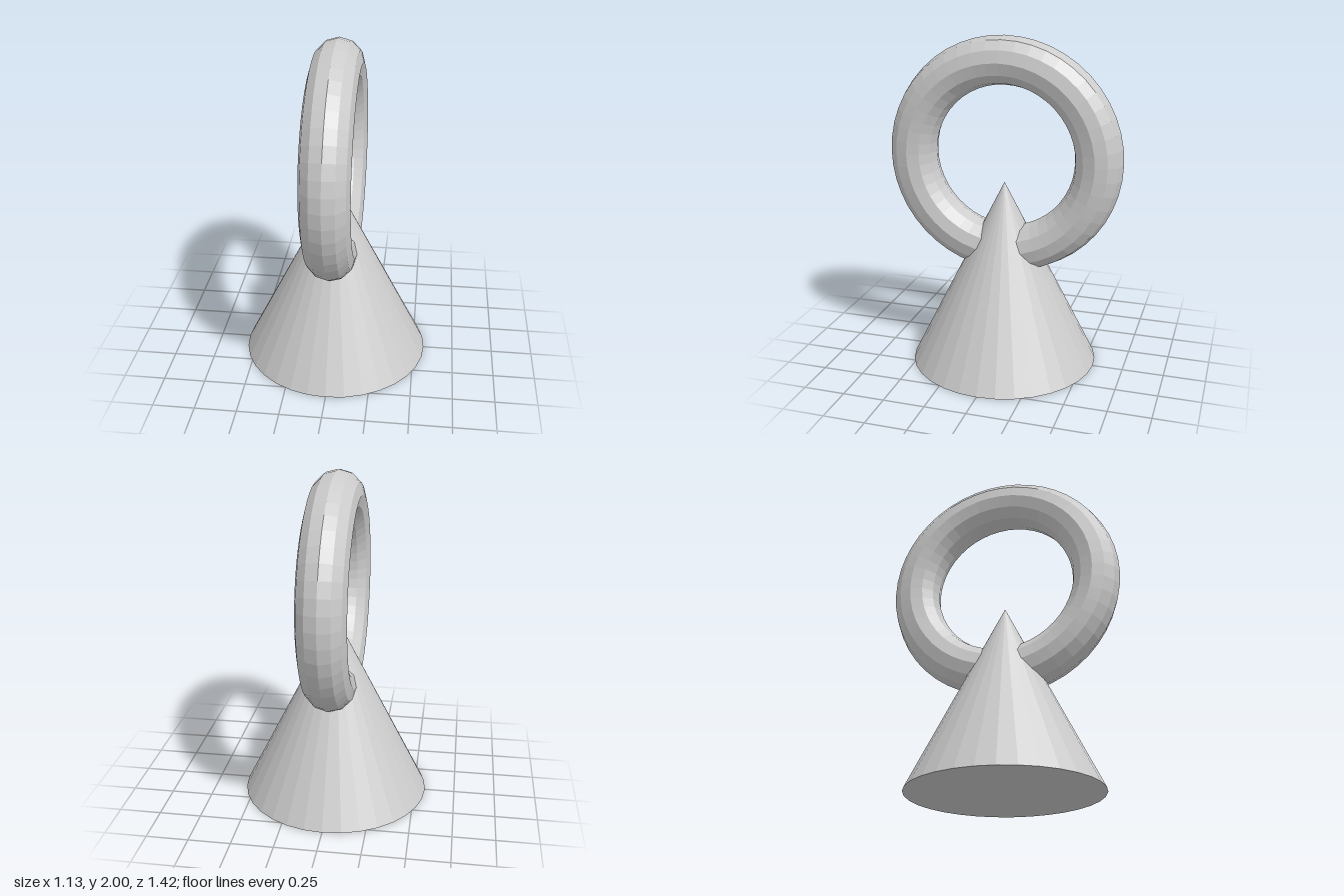
import * as THREE from 'three';

export function createModel() {
  const group = new THREE.Group();
  const material = new THREE.MeshStandardMaterial({ color: 0xcccccc, flatShading: true });
  const radius = 0.567; // shared by the cone base and the ring's centre line
  const tube = radius / 4;

  // cone standing on the ground
  const cone = new THREE.Mesh(new THREE.ConeGeometry(radius, radius * 2, 32), material);
  cone.name = 'cone';
  cone.position.y = radius;

  // upright ring passing through the cone, in the plane x = 0
  const ring = new THREE.Mesh(new THREE.TorusGeometry(radius, tube, 12, 48), material);
  ring.name = 'ring';
  ring.rotation.y = Math.PI / 2;
  ring.position.y = 2 - radius - tube;

  group.add(cone, ring);
  return group;
}
